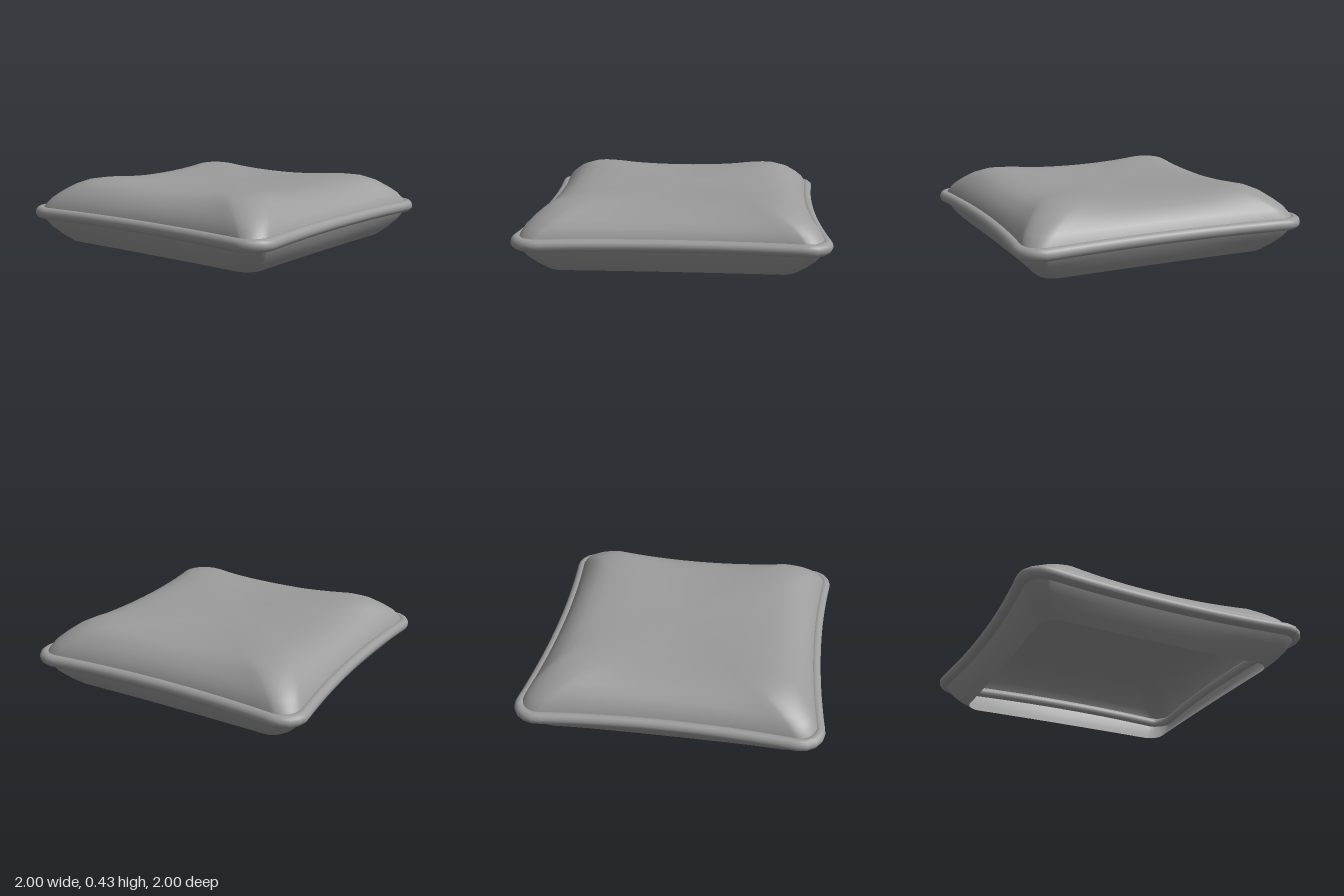
import * as THREE from 'three';

const SEAM_Y = 0.205, HALF = 0.96, PIPE = 0.04, CORNER = 0.13;

// Rounded square of half size h whose sides bow inwards by the fraction pinch
function outline(h, pinch, corner = CORNER) {
  const r = h * corner, c = h - r, pts = [];
  const arc = 8, side = 20;
  for (let q = 0; q < 4; q++) {
    const a = q * Math.PI / 2, ca = Math.cos(a), sa = Math.sin(a);
    const local = [];
    for (let i = 0; i < side; i++) local.push([h, -c + 2 * c * i / side]);
    for (let i = 0; i < arc; i++) {
      const t = i / arc * Math.PI / 2;
      local.push([c + r * Math.cos(t), c + r * Math.sin(t)]);
    }
    for (const [u, v] of local) pts.push([u * ca - v * sa, u * sa + v * ca]);
  }
  const squeeze = (v) => 1 - pinch * Math.max(0, 1 - (v / c) ** 2);
  return pts.map(([x, z]) => [x * squeeze(z), z * squeeze(x)]);
}

// Skin through rings of [half size, y, pinch, corner lift]; corners soften inwards
// by the given rate, and the last ring can close on a centre point
function skin(rings, soften, centreY) {
  const pos = [], idx = [];
  let n = 0;
  for (const [h, y, pinch, lift] of rings) {
    const pts = outline(h, pinch, CORNER + soften * (HALF - h));
    n = pts.length;
    for (const [x, z] of pts) pos.push(x, y + lift * (x * z / (h * h)) ** 2, z);
  }
  for (let k = 0; k < rings.length - 1; k++) {
    for (let i = 0; i < n; i++) {
      const j = (i + 1) % n, a = k * n, b = a + n;
      idx.push(a + i, b + i, a + j, a + j, b + i, b + j);
    }
  }
  if (centreY !== undefined) {
    const c = pos.length / 3, a = (rings.length - 1) * n;
    pos.push(0, centreY, 0);
    for (let i = 0; i < n; i++) idx.push(a + i, c, a + (i + 1) % n);
  }
  const g = new THREE.BufferGeometry();
  g.setAttribute('position', new THREE.Float32BufferAttribute(pos, 3));
  g.setIndex(idx);
  g.computeVertexNormals();
  return g;
}

export function createModel() {
  const group = new THREE.Group();
  const fabric = new THREE.MeshStandardMaterial({ color: 0x9c9c9c, side: THREE.DoubleSide });
  const add = (name, geometry) => {
    const mesh = new THREE.Mesh(geometry, fabric);
    mesh.name = name;
    group.add(mesh);
  };

  // Padded upper half, plumper at the corners and sagging in the middle
  add('cushionTop', skin([
    [0.96, SEAM_Y, 0.05, 0],
    [0.942, 0.25, 0.05, 0],
    [0.912, 0.295, 0.049, 0.005],
    [0.865, 0.335, 0.047, 0.012],
    [0.805, 0.37, 0.044, 0.028],
    [0.74, 0.391, 0.04, 0.041],
    [0.66, 0.402, 0.035, 0.044],
    [0.56, 0.406, 0.03, 0.034],
    [0.44, 0.406, 0.02, 0.022],
    [0.3, 0.403, 0.01, 0.011],
    [0.15, 0.401, 0, 0.003],
  ], 0.5, 0.4));

  // Lower half, cut open at the base
  add('cushionUnderside', skin([
    [0.8, 0, 0.01, 0],
    [0.86, 0.052, 0.025, 0],
    [0.91, 0.107, 0.04, 0],
    [0.942, 0.16, 0.05, 0],
    [0.96, SEAM_Y, 0.05, 0],
  ], 0));

  // Piping cord around the seam
  const path = new THREE.CatmullRomCurve3(
    outline(HALF, 0.05).map(([x, z]) => new THREE.Vector3(x, SEAM_Y, z)), true);
  add('piping', new THREE.TubeGeometry(path, 160, PIPE, 14, true));

  return group;
}
